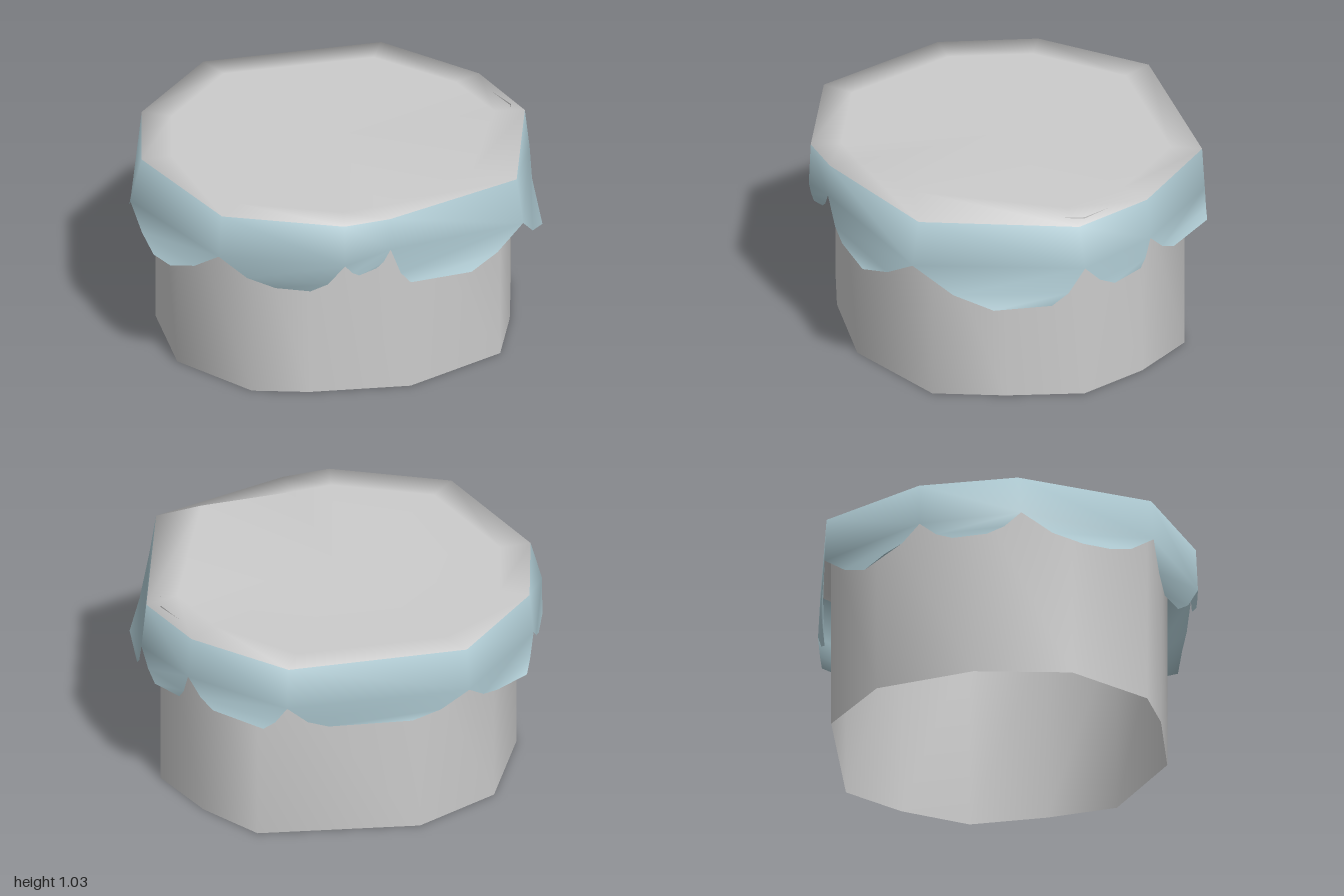
import * as THREE from 'three';

// One entry per corner of the cloth: rim corner, the notch in the hem below it,
// then the two lowest points of the flap between this corner and the next.
const CLOTH = [
  { rim: [-0.94, 0.97, -0.03], notch: [-1.0, 0.76, -0.02], hang: [[-0.955, 0.66, -0.18], [-0.89, 0.66, -0.34]] },
  { rim: [-0.80, 0.97, -0.49], notch: [-0.82, 0.76, -0.49], hang: [[-0.74, 0.63, -0.65], [-0.57, 0.62, -0.73]] },
  { rim: [-0.37, 0.97, -0.89], notch: [-0.38, 0.75, -0.90], hang: [[-0.10, 0.62, -0.89], [0.30, 0.62, -0.83]] },
  { rim: [0.50, 0.97, -0.83], notch: [0.51, 0.76, -0.84], hang: [[0.62, 0.65, -0.81], [0.80, 0.645, -0.57]] },
  { rim: [0.86, 0.96, -0.41], notch: [0.88, 0.76, -0.42], hang: [[0.905, 0.62, -0.36], [0.98, 0.61, -0.20]] },
  { rim: [0.97, 0.945, -0.02], notch: [1.0, 0.73, -0.04], hang: [[0.975, 0.545, 0.12], [0.93, 0.55, 0.40]] },
  { rim: [0.71, 0.98, 0.70], notch: [0.73, 0.76, 0.74], hang: [[0.43, 0.615, 0.88], [0.13, 0.60, 0.87]] },
  { rim: [0.02, 0.97, 0.89], notch: [0.02, 0.81, 0.90], hang: [[-0.05, 0.72, 0.90], [-0.14, 0.70, 0.91]] },
  { rim: [-0.21, 0.97, 0.90], notch: [-0.21, 0.76, 0.91], hang: [[-0.35, 0.59, 0.80], [-0.50, 0.59, 0.72]] },
  { rim: [-0.74, 0.97, 0.63], notch: [-0.76, 0.76, 0.64], hang: [[-0.93, 0.62, 0.41], [-0.975, 0.62, 0.28]] },
];

// Plan of the drum wall [x, z]
const WALL = [
  [-0.845, 0.24], [-0.81, -0.23], [-0.57, -0.67], [-0.15, -0.845],
  [0.615, -0.695], [0.80, -0.41], [0.915, -0.07], [0.80, 0.29],
  [0.655, 0.61], [0.15, 0.80], [-0.33, 0.72], [-0.59, 0.627],
];

const makeGeometry = (points, index) => {
  const g = new THREE.BufferGeometry();
  g.setAttribute('position', new THREE.Float32BufferAttribute(points.flat(), 3));
  g.setIndex(index);
  g.computeVertexNormals();
  return g;
};

// Side faces between an upper and a lower closed ring of n points
function joinRings(index, upper, lower, n) {
  for (let i = 0; i < n; i++) {
    const j = (i + 1) % n;
    index.push(upper + i, upper + j, lower + i, upper + j, lower + j, lower + i);
  }
}

function wallGeometry() {
  const n = WALL.length, index = [];
  const ring = (y) => WALL.map(([x, z]) => [x, y, z]);
  joinRings(index, 0, n, n);
  return makeGeometry([...ring(0.96), ...ring(0)], index);
}

function clothGeometry() {
  const n = CLOTH.length, index = [];
  const inset = CLOTH.map(({ rim: [x, , z] }) => [x * 0.84, 0.968, z * 0.84]);
  inset[6] = [0.5, 1.03, 0.65]; // raised fold
  const rim = CLOTH.map((c) => c.rim);
  const notch = CLOTH.map((c) => c.notch);
  const points = [[0, 0.968, 0], ...inset, ...rim, ...notch];

  // Flat top and its soft border
  for (let i = 0; i < n; i++) index.push(0, 1 + (i + 1) % n, 1 + i);
  joinRings(index, 1, 1 + n, n);
  const topCount = index.length;

  // Upright band
  joinRings(index, 1 + n, 1 + 2 * n, n);

  // Hanging flaps: shoulder, two low points, shoulder
  const shoulder = (a, b) => [
    (a[0] + b[0]) / 2, a[1] + (b[1] - a[1]) * 0.68, (a[2] + b[2]) / 2,
  ];
  CLOTH.forEach(({ hang: [p, q] }, i) => {
    const j = (i + 1) % n, k = points.length;
    const a = 1 + 2 * n + i, b = 1 + 2 * n + j;
    points.push(shoulder(notch[i], p), p, q, shoulder(notch[j], q));
    index.push(a, b, k + 3, a, k + 3, k, k, k + 3, k + 2, k, k + 2, k + 1);
  });

  const g = makeGeometry(points, index);
  g.addGroup(0, topCount, 0);
  g.addGroup(topCount, index.length - topCount, 1);
  return g;
}

export function createModel() {
  const model = new THREE.Group();
  model.name = 'coveredDrum';
  const paint = (color) => new THREE.MeshStandardMaterial({ color, side: THREE.DoubleSide });
  const grey = paint(0xcccccc);

  const wall = new THREE.Mesh(wallGeometry(), grey);
  wall.name = 'drumWall';
  const cloth = new THREE.Mesh(clothGeometry(), [grey, paint(0xa9c4cc)]);
  cloth.name = 'clothCover';

  model.add(wall, cloth);
  return model;
}
